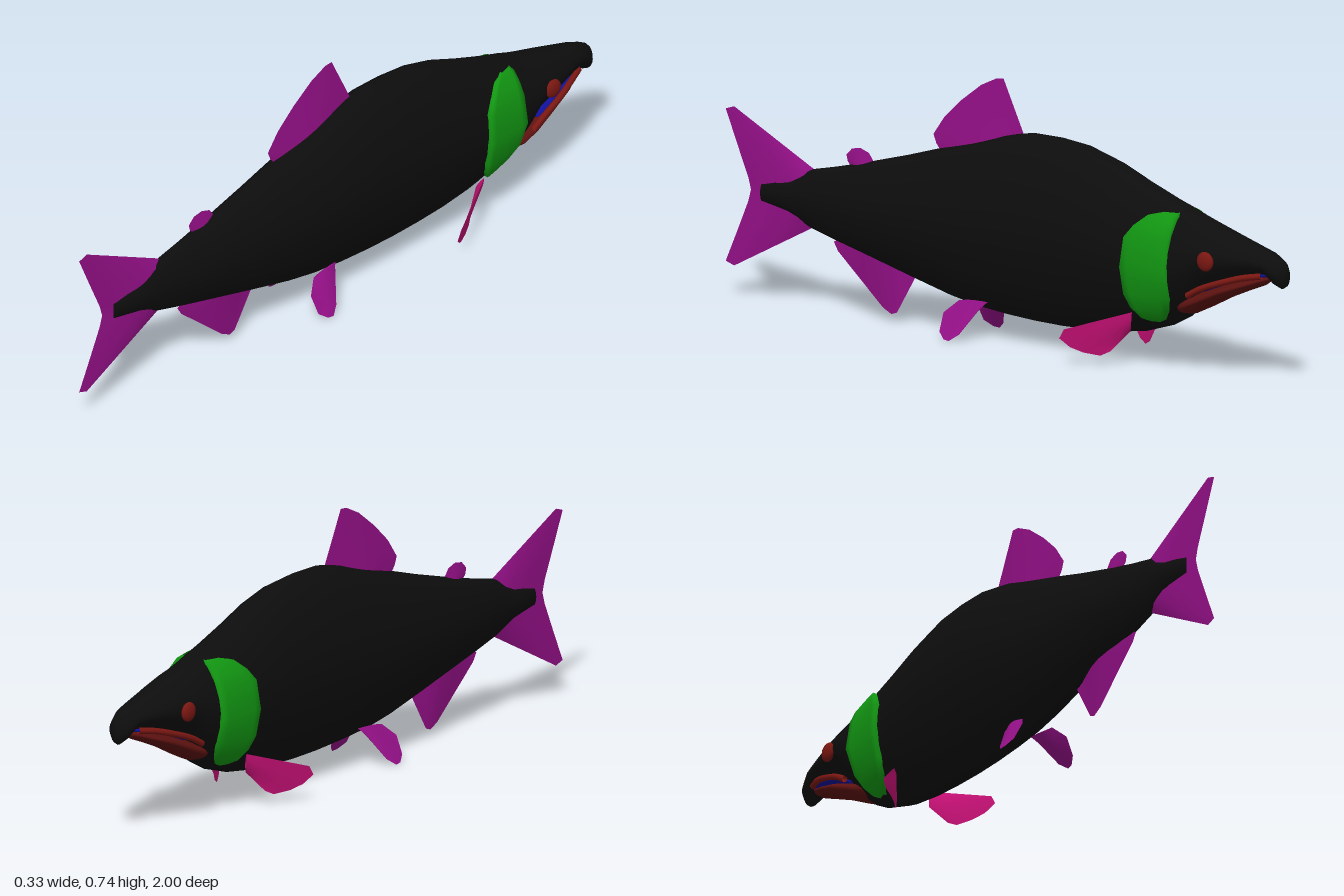
import * as THREE from 'three';

const mat = (name, color) => {
  const m = new THREE.MeshStandardMaterial({ color, side: THREE.DoubleSide });
  m.name = name;
  return m;
};

// Surface through a grid of points: rows[i][j] = [x, y, z]
function grid(rows, closed = false) {
  const n = rows[0].length, index = [];
  for (let i = 0; i < rows.length - 1; i++) {
    for (let j = 0; j < (closed ? n : n - 1); j++) {
      const k = (j + 1) % n;
      const a = i * n + j, b = i * n + k, c = a + n, d = b + n;
      index.push(a, b, c, b, d, c);
    }
  }
  const g = new THREE.BufferGeometry();
  g.setAttribute('position', new THREE.Float32BufferAttribute(rows.flat(2), 3));
  g.setIndex(index);
  g.computeVertexNormals();
  return g;
}

// Loft along z through stations [z, top, bottom, halfWidth], closed at both ends
const POWER = 1.7;
function loft(stations, sides = 20) {
  const ring = ([z, top, bottom, w], s = 1) => Array.from({ length: sides }, (_, j) => {
    const a = j / sides * Math.PI * 2, c = Math.cos(a), d = Math.sin(a);
    const x = Math.sign(c) * Math.abs(c) ** (2 / POWER);
    const y = Math.sign(d) * Math.abs(d) ** (2 / POWER);
    return [x * w * s, (top + bottom) / 2 + y * s * (top - bottom) / 2, z];
  });
  return grid([ring(stations[0], 0.01), ...stations.map(s => ring(s)),
    ring(stations[stations.length - 1], 0.01)], true);
}

const BODY = [
  [-1.0, 0.345, 0.29, 0.014], [-0.985, 0.362, 0.28, 0.03], [-0.965, 0.373, 0.288, 0.038],
  [-0.94, 0.382, 0.312, 0.046], [-0.9, 0.393, 0.308, 0.056], [-0.82, 0.417, 0.282, 0.077],
  [-0.74, 0.442, 0.25, 0.09], [-0.7, 0.456, 0.2, 0.096], [-0.66, 0.472, 0.16, 0.1],
  [-0.6, 0.492, 0.128, 0.105], [-0.5, 0.53, 0.097, 0.11], [-0.4, 0.572, 0.082, 0.112],
  [-0.3, 0.6, 0.075, 0.113], [-0.2, 0.61, 0.072, 0.113], [-0.1, 0.61, 0.074, 0.113],
  [0, 0.592, 0.08, 0.111], [0.1, 0.562, 0.09, 0.106], [0.2, 0.533, 0.108, 0.097],
  [0.35, 0.488, 0.145, 0.08], [0.5, 0.447, 0.183, 0.06], [0.6, 0.422, 0.208, 0.045],
  [0.7, 0.4, 0.235, 0.03], [0.77, 0.365, 0.265, 0.025], [0.82, 0.355, 0.275, 0.018],
  [0.87, 0.34, 0.285, 0.01],
];

// Half-width of the body at a given height and z
function bodyX(z, y) {
  let i = 0;
  while (i < BODY.length - 2 && BODY[i + 1][0] < z) i++;
  const t = (z - BODY[i][0]) / (BODY[i + 1][0] - BODY[i][0]);
  const [, top, bottom, w] = BODY[i].map((v, k) => THREE.MathUtils.lerp(v, BODY[i + 1][k], t));
  const h = Math.min(1, Math.abs((y - (top + bottom) / 2) / ((top - bottom) / 2)));
  return w * (1 - h ** POWER) ** (1 / POWER);
}

// Fin from base line b0-b1 to an outer edge, thick at the base and sharp at the rim
function fin(b0, b1, outer, thickness, dir = [1, 0, 0]) {
  const A = new THREE.Vector3(...b0), B = new THREE.Vector3(...b1);
  const D = new THREE.Vector3(...dir).normalize();
  const n = outer.length - 1, steps = 5, rows = [];
  const point = (j, v, side) => {
    const u = j / n;
    return A.clone().lerp(B, u).lerp(new THREE.Vector3(...outer[j]), v)
      .addScaledVector(D, side * thickness * Math.sin(Math.PI * u) * (1 - v)).toArray();
  };
  for (const side of [-1, 1]) {
    for (let i = 0; i <= steps; i++) {
      const v = side < 0 ? i / steps : 1 - i / steps;
      rows.push(outer.map((_, j) => point(j, v, side)));
    }
  }
  return grid(rows);
}
const flat = pts => pts.map(([z, y]) => [0, y, z]);

export function createModel() {
  const model = new THREE.Group();
  const skin = mat('black skin', 0x0d0d0d);
  const green = mat('green gill', 0x129612);
  const purple = mat('purple fin', 0x951088);
  const pink = mat('pink fin', 0xc41074);
  const eyeRed = mat('red eye', 0x7a1712);
  const jawRed = mat('dark red jaw', 0x5c1210);
  const blue = mat('blue mouth', 0x10109a);

  const add = (name, geometry, material, parent = model) => {
    const m = new THREE.Mesh(geometry, material);
    m.name = name;
    parent.add(m);
    return m;
  };

  add('body', loft(BODY), skin);

  // Lower jaw and the mouth lining above it
  add('lowerJaw', loft([
    [-0.94, 0.312, 0.295, 0.018], [-0.92, 0.312, 0.282, 0.034], [-0.87, 0.296, 0.262, 0.052],
    [-0.8, 0.276, 0.232, 0.066], [-0.73, 0.25, 0.196, 0.074], [-0.68, 0.232, 0.172, 0.07],
    [-0.64, 0.22, 0.165, 0.05],
  ]), jawRed);
  add('mouthLining', loft([
    [-0.95, 0.325, 0.31, 0.022], [-0.9, 0.318, 0.302, 0.045],
    [-0.82, 0.295, 0.278, 0.062], [-0.74, 0.262, 0.245, 0.06],
  ], 12), blue);

  // Fins on the centre line
  const centre = (name, b0, b1, outer, t) =>
    add(name, fin(...flat([b0, b1]), flat(outer), t), purple);
  centre('dorsalFin', [-0.05, 0.58], [0.23, 0.51],
    [[-0.06, 0.605], [0.01, 0.75], [0.035, 0.748], [0.09, 0.722], [0.16, 0.67],
      [0.22, 0.615], [0.26, 0.56], [0.25, 0.535]], 0.012);
  centre('adiposeFin', [0.47, 0.43], [0.54, 0.42],
    [[0.475, 0.455], [0.49, 0.475], [0.52, 0.485], [0.55, 0.48], [0.57, 0.46], [0.565, 0.44]], 0.01);
  centre('analFin', [0.34, 0.18], [0.57, 0.23],
    [[0.325, 0.14], [0.39, 0.032], [0.41, 0.025], [0.44, 0.04], [0.52, 0.11],
      [0.6, 0.18], [0.615, 0.205]], 0.02);
  centre('tailFin', [0.68, 0.24], [0.68, 0.4],
    [[0.97, 0.09], [1.0, 0.1], [0.955, 0.2], [0.92, 0.28], [0.91, 0.315], [0.92, 0.35],
      [0.955, 0.43], [1.0, 0.535], [0.97, 0.545]], 0.022);

  // Paired parts
  const gillRows = [
    [0.46, -0.645, -0.605], [0.45, -0.65, -0.565], [0.42, -0.65, -0.53], [0.385, -0.65, -0.505],
    [0.3, -0.65, -0.498], [0.22, -0.642, -0.5], [0.18, -0.625, -0.513], [0.15, -0.6, -0.535],
    [0.14, -0.58, -0.555],
  ];
  for (const s of [1, -1]) {
    const side = new THREE.Group();
    side.name = s > 0 ? 'rightSide' : 'leftSide';
    model.add(side);

    // Gill cover: a raised patch following the body
    add('gillCover', grid(gillRows.map(([y, z0, z1], i) =>
      [0, 0, 0.15, 0.5, 0.85, 1, 1].map((u, j) => {
        const z = THREE.MathUtils.lerp(z0, z1, u);
        const rim = j === 0 || j === 6;
        const lift = rim ? -0.004 : (i === 0 || i === 8) ? 0.006 : 0.013;
        return [s * (bodyX(z, y) + lift), y, z];
      }))), green, side);

    const eye = add('eye', new THREE.SphereGeometry(0.028, 16, 12), eyeRed, side);
    eye.scale.x = 0.45;
    eye.position.set(s * (bodyX(-0.775, 0.345) + 0.001), 0.345, -0.775);

    // Lip along the mouth line
    const lip = [[0.078, 0.237, -0.705], [0.076, 0.262, -0.75], [0.067, 0.288, -0.82],
      [0.05, 0.306, -0.88], [0.03, 0.314, -0.93]];
    add('lip', new THREE.TubeGeometry(new THREE.CatmullRomCurve3(
      lip.map(([x, y, z]) => new THREE.Vector3(s * x, y, z))), 16, 0.009, 8), eyeRed, side);

    const mirror = pts => pts.map(([x, y, z]) => [s * x, y, z]);
    add('pectoralFin', fin(
      ...mirror([[0.08, 0.165, -0.51], [0.06, 0.105, -0.49]]),
      mirror([[0.165, 0.107, -0.335], [0.167, 0.08, -0.32], [0.15, 0.055, -0.345],
        [0.128, 0.04, -0.375], [0.102, 0.032, -0.415], [0.09, 0.045, -0.44]]),
      0.008, [s * 0.7, -0.5, -0.5]), pink, side);
    add('pelvicFin', fin(
      ...mirror([[0.04, 0.115, 0.035], [0.05, 0.11, 0.13]]),
      mirror([[0.055, 0.1, 0.05], [0.1, 0.025, 0.09], [0.115, 0.006, 0.115], [0.113, 0.008, 0.135],
        [0.1, 0.025, 0.16], [0.075, 0.075, 0.165]]),
      0.01, [s * 0.84, 0.54, 0]), purple, side);
  }
  return model;
}
